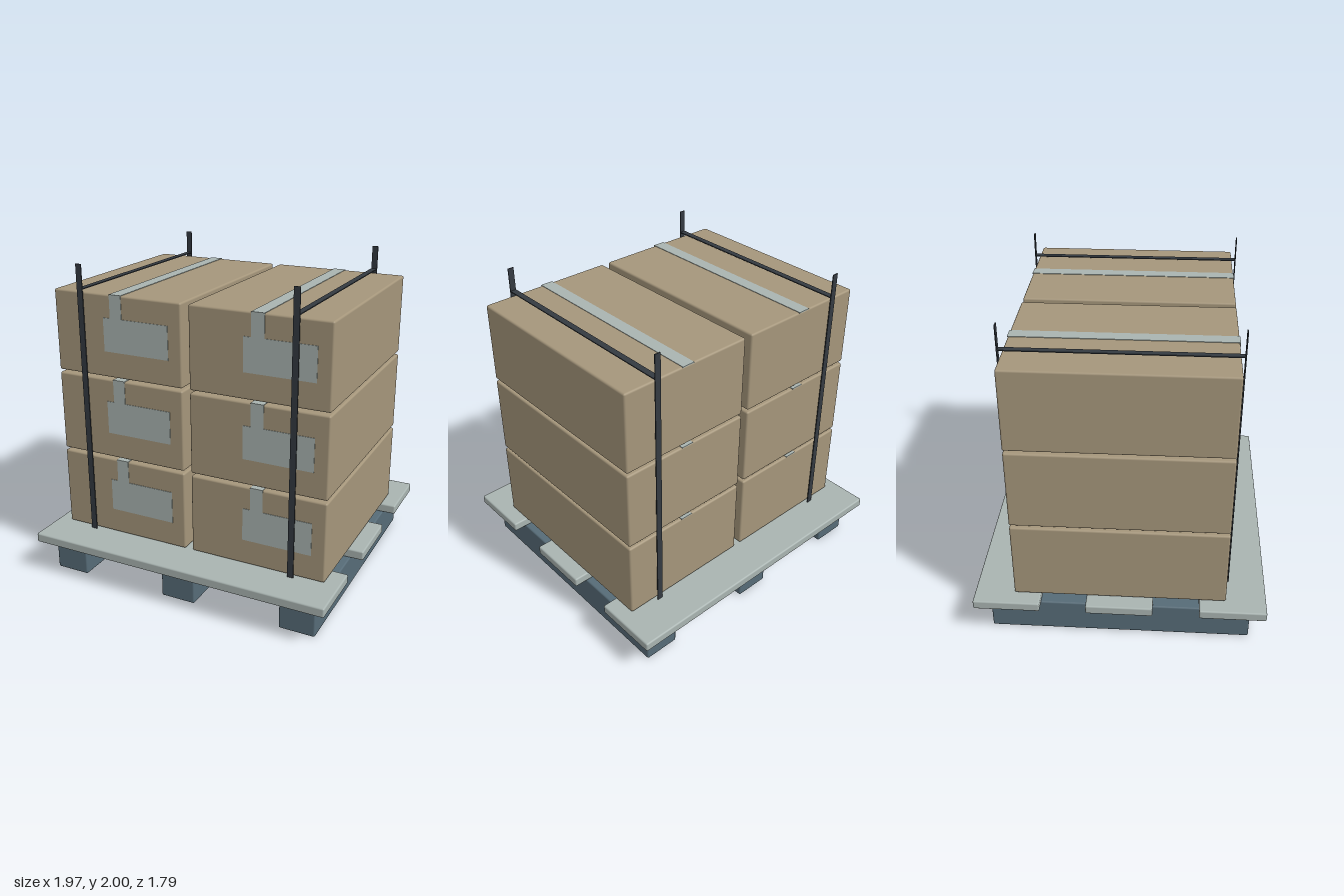
import * as THREE from 'three';
import { RoundedBoxGeometry } from 'three/addons/geometries/RoundedBoxGeometry.js';

function material(name, color) {
  const m = new THREE.MeshStandardMaterial({ color });
  m.name = name;
  return m;
}

export function createModel() {
  const cardboard = material('cardboard', 0xa5967b);
  const paleGrey = material('pale grey', 0xa9b4b1);
  const slateBlue = material('slate blue', 0x566b77);
  const strapBlack = material('strap black', 0x343a41);

  const model = new THREE.Group();
  model.name = 'loadedPallet';

  // Box from its limits on each axis, with softened edges if a radius is given
  function block(parent, name, mat, [x0, x1], [y0, y1], [z0, z1], radius = 0) {
    const size = [x1 - x0, y1 - y0, z1 - z0];
    const geometry = radius
      ? new RoundedBoxGeometry(...size, 2, radius)
      : new THREE.BoxGeometry(...size);
    const mesh = new THREE.Mesh(geometry, mat);
    mesh.name = name;
    mesh.position.set((x0 + x1) / 2, (y0 + y1) / 2, (z0 + z1) / 2);
    parent.add(mesh);
  }

  // Pallet: three runners front to back, three deck boards across
  const pallet = new THREE.Group();
  pallet.name = 'pallet';
  model.add(pallet);
  for (const x of [-0.787, 0, 0.787]) {
    block(pallet, 'runner', slateBlue, [x - 0.113, x + 0.113], [0, 0.212], [-0.8, 0.8], 0.01);
  }
  for (const z of [-0.69, 0, 0.69]) {
    block(pallet, 'deckBoard', paleGrey, [-0.983, 0.983], [0.21, 0.27], [z - 0.204, z + 0.204], 0.01);
  }

  // Cartons: two columns of three, each with tape and a front label
  for (const x of [-0.458, 0.458]) {
    for (let row = 0; row < 3; row++) {
      const carton = new THREE.Group();
      carton.name = 'carton';
      carton.position.set(x, 0.273 + row * 0.525, 0);
      model.add(carton);
      block(carton, 'cartonBody', cardboard, [-0.434, 0.434], [0, 0.508], [-0.648, 0.648], 0.012);
      block(carton, 'topTape', paleGrey, [-0.042, 0.038], [0.505, 0.511], [-0.65, 0.651]);
      block(carton, 'frontTape', paleGrey, [-0.042, 0.038], [0.36, 0.511], [0.645, 0.651]);
      block(carton, 'frontLabel', paleGrey, [-0.091, 0.347], [0.16, 0.367], [0.645, 0.651]);
    }
  }

  // Straps: front and back uprights joined by a band over the load
  for (const x of [-0.69, 0.687]) {
    const strap = new THREE.Group();
    strap.name = 'strap';
    strap.position.x = x;
    model.add(strap);
    for (const z of [-0.668, 0.668]) {
      block(strap, 'strapUpright', strapBlack, [-0.019, 0.019], [0.268, 2], [z - 0.003, z + 0.003]);
    }
    block(strap, 'strapTop', strapBlack, [-0.019, 0.019], [1.849, 1.855], [-0.67, 0.67]);
  }

  return model;
}
